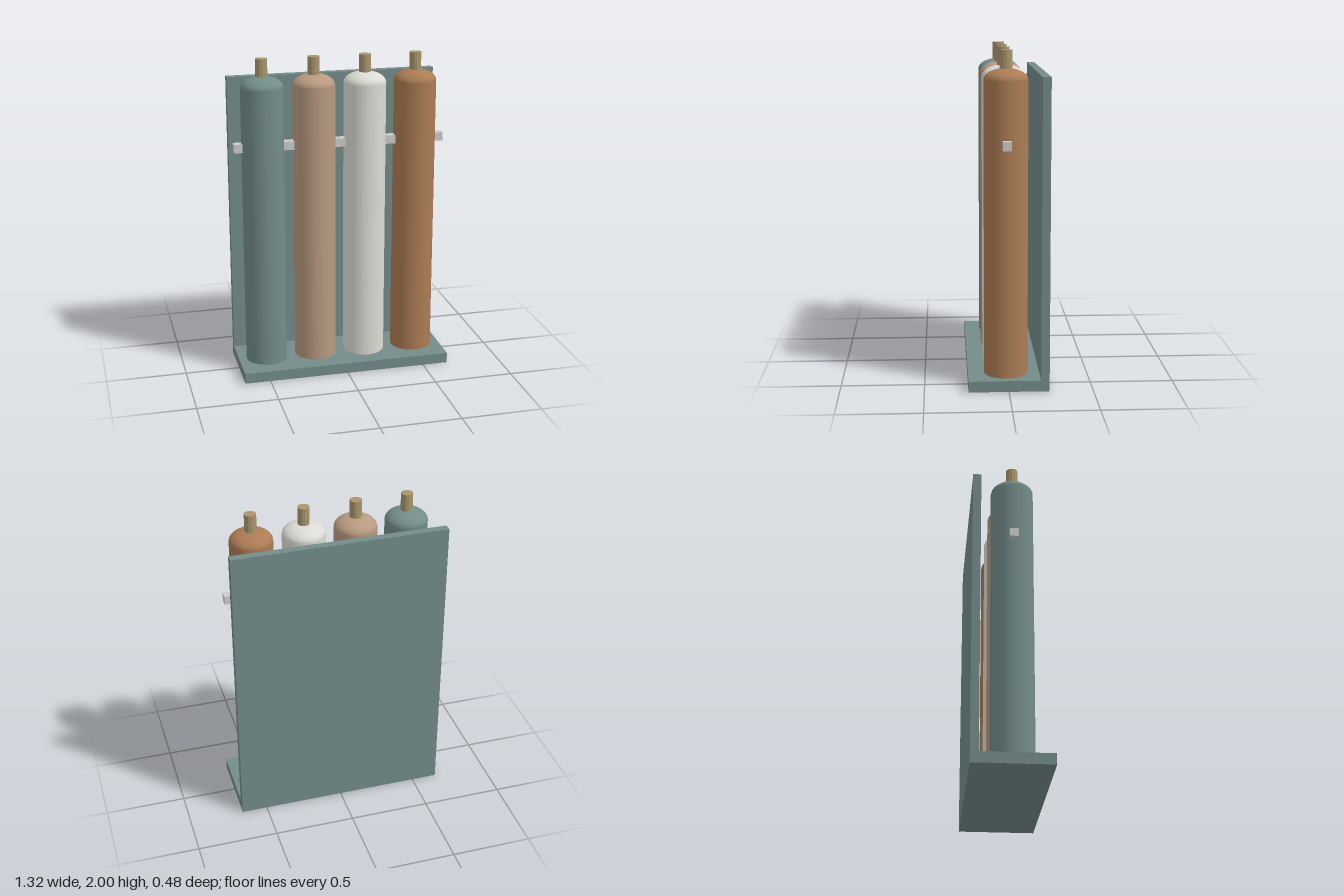
import * as THREE from 'three';

const paint = (color) => new THREE.MeshStandardMaterial({ color });

export function createModel() {
  const model = new THREE.Group();
  const teal = paint(0x738c8a);
  const brass = paint(0xa8956c);
  brass.flatShading = true;
  const axisZ = 0.01, radius = 0.131;
  const floorY = 0.066, shoulderY = 1.825, domeY = 1.895;

  const add = (parent, name, geometry, material, x, y, z) => {
    const mesh = new THREE.Mesh(geometry, material);
    mesh.name = name;
    mesh.position.set(x, y, z);
    parent.add(mesh);
    return mesh;
  };

  // Rack: base plate, back panel and retaining bar
  add(model, 'basePlate', new THREE.BoxGeometry(1.32, floorY, 0.48), teal, 0, floorY / 2, 0);
  add(model, 'backPanel', new THREE.BoxGeometry(1.32, 1.855 - floorY, 0.05), teal,
    0, (1.855 + floorY) / 2, -0.215);
  add(model, 'retainingBar', new THREE.BoxGeometry(1.32, 0.053, 0.053), paint(0xcccccc), 0, 1.46, axisZ);

  // Gas cylinders: straight body, flattened dome, valve
  const bodyGeometry = new THREE.CylinderGeometry(radius, radius, shoulderY - floorY, 24);
  const domeGeometry = new THREE.SphereGeometry(radius, 24, 8, 0, Math.PI * 2, 0, Math.PI / 2);
  domeGeometry.scale(1, (domeY - shoulderY) / radius, 1);
  const valveGeometry = new THREE.CylinderGeometry(0.037, 0.037, 0.12, 12);

  [0x738c8a, 0xb89a80, 0xdcdcd6, 0xac7c54].forEach((color, i) => {
    const cylinder = new THREE.Group();
    cylinder.name = `gasCylinder${i + 1}`;
    cylinder.position.set(-0.48 + 0.32 * i, 0, axisZ);
    const material = paint(color);
    add(cylinder, 'body', bodyGeometry, material, 0, (shoulderY + floorY) / 2, 0);
    add(cylinder, 'dome', domeGeometry, material, 0, shoulderY, 0);
    add(cylinder, 'valve', valveGeometry, brass, 0, 1.94, 0);
    model.add(cylinder);
  });

  return model;
}
